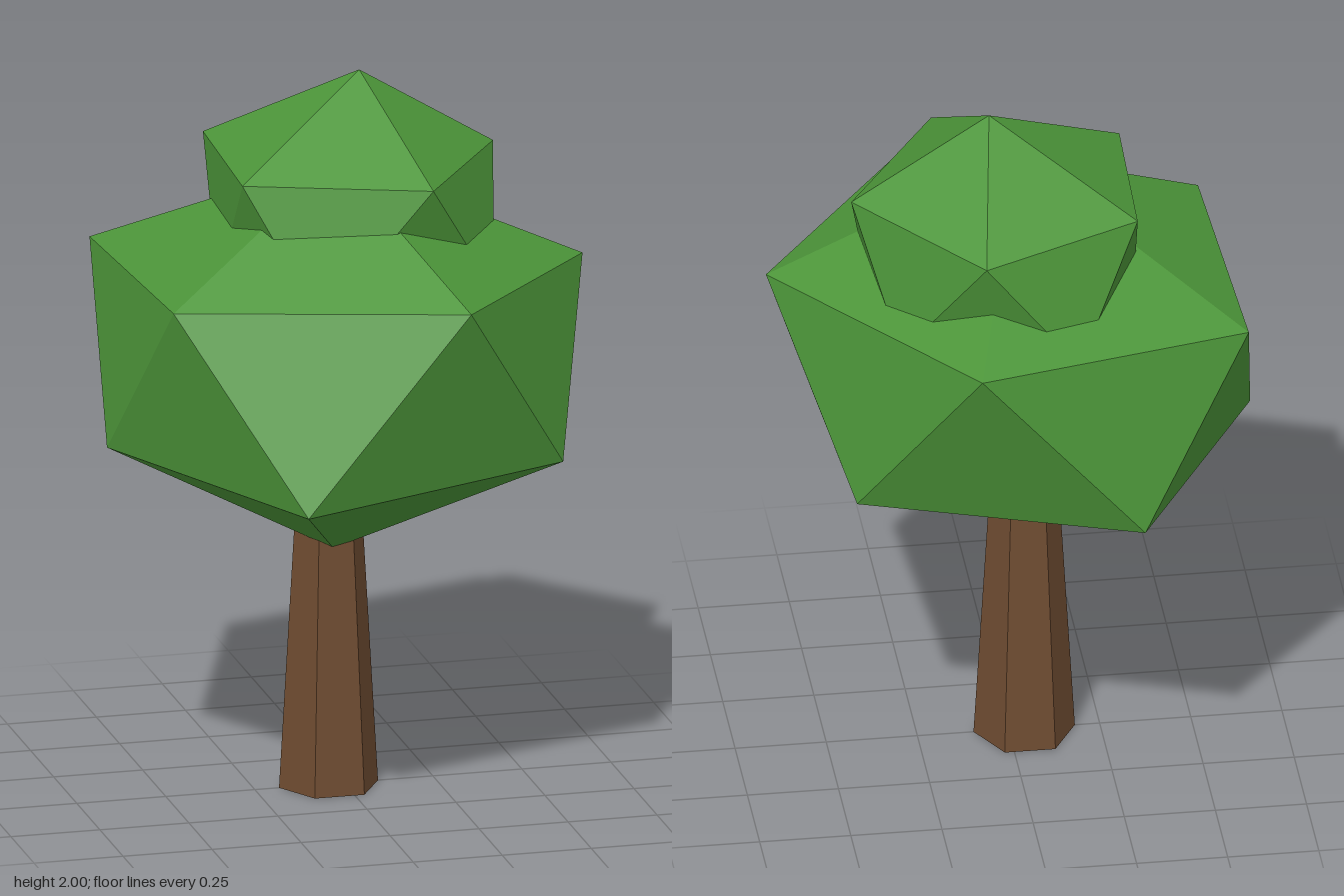
import * as THREE from 'three';

const leafGreen = new THREE.MeshStandardMaterial({ color: 0x4c9539, flatShading: true });
leafGreen.name = 'leafGreen';
const barkBrown = new THREE.MeshStandardMaterial({ color: 0x6f4c31, flatShading: true });
barkBrown.name = 'barkBrown';

// Irregular icosahedron: top point, two staggered rings of five, bottom point
function foliage(name, top, upper, lower, bottom) {
  const points = [];
  const face = (...corners) => corners.forEach((c) => points.push(new THREE.Vector3(...c)));
  for (let i = 0; i < 5; i++) {
    const j = (i + 1) % 5;
    face(top, upper[i], upper[j]);
    face(upper[i], lower[i], upper[j]);
    face(lower[i], lower[j], upper[j]);
    face(bottom, lower[j], lower[i]);
  }
  const geometry = new THREE.BufferGeometry().setFromPoints(points);
  geometry.computeVertexNormals();
  const mesh = new THREE.Mesh(geometry, leafGreen);
  mesh.name = name;
  return mesh;
}

export function createModel() {
  const tree = new THREE.Group();
  tree.name = 'tree';

  // Tapered six-sided trunk, its top hidden in the leaves
  const trunkGeometry = new THREE.CylinderGeometry(0.084, 0.139, 0.95, 6);
  trunkGeometry.rotateY(Math.PI / 6);
  const trunk = new THREE.Mesh(trunkGeometry, barkBrown);
  trunk.name = 'trunk';
  trunk.position.set(-0.043, 0.475, 0);
  tree.add(trunk);

  // Large lower mass of leaves
  tree.add(foliage('lowerFoliage',
    [-0.03, 1.79, 0.04],
    [[0.66, 1.47, 0.04], [0.16, 1.5, -0.66], [-0.6, 1.47, -0.44], [-0.565, 1.48, 0.335], [0.2, 1.5, 0.61]],
    [[0.465, 0.97, -0.37], [-0.29, 0.975, -0.635], [-0.66, 1.0, -0.02], [-0.27, 0.97, 0.66], [0.52, 0.985, 0.37]],
    [-0.045, 0.69, 0.06]));

  // Small upper mass, sunk into the lower one
  tree.add(foliage('upperFoliage',
    [0.065, 2.0, -0.085],
    [[0.445, 1.765, -0.1], [0.125, 1.75, -0.485], [-0.31, 1.78, -0.33], [-0.325, 1.77, 0.155], [0.17, 1.765, 0.315]],
    [[0.337, 1.41, -0.317], [-0.13, 1.43, -0.49], [-0.33, 1.42, -0.09], [-0.14, 1.41, 0.305], [0.376, 1.43, 0.175]],
    [0.03, 1.18, -0.08]));

  return tree;
}
